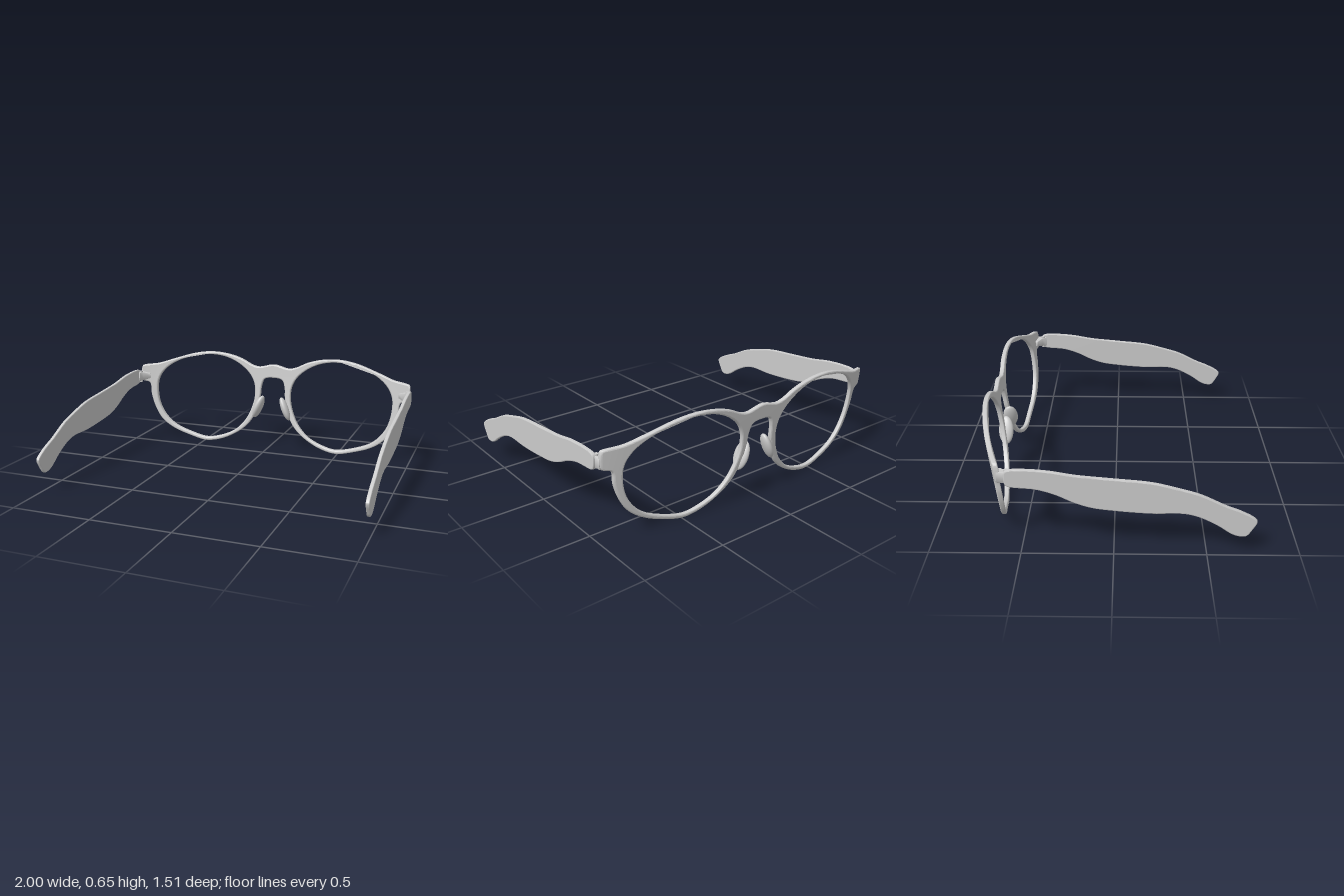
import * as THREE from 'three';
import { toCreasedNormals } from 'three/addons/utils/BufferGeometryUtils.js';

const material = new THREE.MeshStandardMaterial({ color: 0xcccccc });

// Smooth closed outline through a few points
function outline(points, samples) {
  const curve = new THREE.CatmullRomCurve3(points.map(([x, y]) => new THREE.Vector3(x, y, 0)), true);
  return curve.getPoints(samples).slice(0, -1).map((p) => new THREE.Vector2(p.x, p.y));
}

// Extrusion with rounded edges and flat faces, centred on its own thickness
function roundedSlab(shape, thickness, bevel) {
  const depth = thickness - 2 * bevel;
  const extrusion = new THREE.ExtrudeGeometry(shape, {
    depth, steps: 1, bevelEnabled: true, bevelThickness: bevel,
    bevelSize: bevel, bevelOffset: -bevel, bevelSegments: 3,
  });
  const geometry = toCreasedNormals(extrusion.translate(0, 0, -depth / 2), 0.8);
  const { position, normal } = geometry.attributes;
  for (let i = 0; i < position.count; i += 3) {
    const z = [0, 1, 2].map((k) => position.getZ(i + k));
    const isCap = z.every((v) => Math.abs(v - z[0]) < 1e-6) && Math.abs(z[0]) > thickness / 2 - 1e-5;
    if (isCap) [0, 1, 2].forEach((k) => normal.setXYZ(i + k, 0, 0, Math.sign(z[0])));
  }
  return geometry;
}

function part(name, geometry) {
  const mesh = new THREE.Mesh(geometry, material);
  mesh.name = name;
  return mesh;
}

// Wrap and tilt of the frame front, carrying the normals along
function bendFront(geometry) {
  const { position, normal } = geometry.attributes;
  const n = new THREE.Vector3();
  for (let i = 0; i < position.count; i++) {
    const x = position.getX(i);
    const y = position.getY(i) - 0.3;
    const z = -0.705 + 0.135 * Math.abs(x) ** 3 - 0.13 * y + 0.05 * y * y;
    position.setZ(i, position.getZ(i) + z);
    n.fromBufferAttribute(normal, i);
    n.x -= 0.405 * x * Math.abs(x) * n.z;
    n.y -= (0.1 * y - 0.13) * n.z;
    n.normalize();
    normal.setXYZ(i, n.x, n.y, n.z);
  }
  return geometry;
}

function frameFront() {
  const half = [
    [0.11, 0.568], [0.16, 0.578], [0.25, 0.62], [0.36, 0.648], [0.48, 0.656], [0.6, 0.64],
    [0.76, 0.593], [0.866, 0.56], [0.965, 0.547], [0.978, 0.54], [0.98, 0.44], [0.97, 0.43],
    [0.925, 0.415], [0.91, 0.33], [0.878, 0.235], [0.825, 0.148], [0.74, 0.084], [0.61, 0.033],
    [0.487, 0.005], [0.36, 0.03], [0.23, 0.1], [0.16, 0.17], [0.12, 0.25], [0.092, 0.36],
    [0.086, 0.43], [0.065, 0.483],
  ];
  const mirrored = half.map(([x, y]) => [-x, y]).reverse();
  const shape = new THREE.Shape(outline([[0, 0.59], ...half, [0, 0.495], ...mirrored], 400));

  // Lens openings, both wound against the outline
  const lens = [
    [0.487, 0.636], [0.36, 0.622], [0.257, 0.578], [0.176, 0.51], [0.14, 0.44], [0.134, 0.36],
    [0.155, 0.267], [0.2, 0.176], [0.28, 0.096], [0.39, 0.048], [0.487, 0.032], [0.61, 0.061],
    [0.73, 0.113], [0.797, 0.174], [0.845, 0.257], [0.866, 0.364], [0.86, 0.444], [0.82, 0.513],
    [0.74, 0.572], [0.62, 0.615],
  ];
  const mirroredLens = lens.map(([x, y]) => [-x, y]).reverse();
  for (const opening of [lens, mirroredLens]) {
    shape.holes.push(new THREE.Path(outline(opening, 140)));
  }
  return part('frameFront', bendFront(roundedSlab(shape, 0.03, 0.01)));
}

// Side arm, drawn as (z, y)
function temple(s) {
  const profile = [
    [0.757, 0.217], [0.74, 0.238], [0.664, 0.28], [0.59, 0.31], [0.45, 0.378], [0.328, 0.415],
    [0.2, 0.447], [0, 0.468], [-0.2, 0.488], [-0.34, 0.512], [-0.48, 0.521], [-0.55, 0.515],
    [-0.565, 0.5], [-0.564, 0.435], [-0.55, 0.42], [-0.4, 0.402], [-0.3, 0.37], [-0.21, 0.326],
    [-0.117, 0.294], [0, 0.277], [0.2, 0.261], [0.368, 0.261], [0.45, 0.24], [0.55, 0.188],
    [0.623, 0.138], [0.664, 0.123], [0.704, 0.125], [0.733, 0.164],
  ];
  const geometry = roundedSlab(new THREE.Shape(outline(profile, 160)), 0.022, 0.007);
  return part('temple', geometry.rotateY(-Math.PI / 2).translate(s * 0.988, 0, 0));
}

// Bracket (x, z) joining frame and arm, with its pin
function hinge(s) {
  const group = new THREE.Group();
  group.name = 'hinge';
  const bracket = [[0.986, -0.605], [0.988, -0.54], [0.968, -0.53], [0.952, -0.56], [0.91, -0.592], [0.92, -0.61]];
  const shape = new THREE.Shape(bracket.map(([x, z]) => new THREE.Vector2(s * x, -z)));
  const geometry = roundedSlab(shape, 0.065, 0.006).rotateX(-Math.PI / 2);
  // Narrow the bracket towards the lens
  const { position } = geometry.attributes;
  for (let i = 0; i < position.count; i++) {
    const t = THREE.MathUtils.smoothstep(Math.abs(position.getX(i)), 0.9, 0.97);
    position.setY(i, position.getY(i) * (0.45 + 0.55 * t));
  }
  group.add(part('hingeBracket', geometry.translate(0, 0.468, 0)));
  const pin = part('hingePin', new THREE.CylinderGeometry(0.012, 0.012, 0.08, 16));
  pin.position.set(s * 0.97, 0.468, -0.555);
  group.add(pin);
  return group;
}

// Flattened oval pad leaning with the side of the nose
function nosePad(s) {
  const pad = part('nosePad', new THREE.SphereGeometry(1, 32, 20));
  pad.scale.set(0.027, 0.088, 0.047);
  pad.position.set(s * 0.1, 0.283, -0.69);
  pad.rotation.set(0, s * 0.2, s * 0.38, 'ZYX');
  return pad;
}

export function createModel() {
  const model = new THREE.Group();
  model.name = 'eyeglasses';
  model.add(frameFront());
  for (const s of [1, -1]) {
    const side = new THREE.Group();
    side.name = s > 0 ? 'leftSide' : 'rightSide';
    side.add(temple(s), hinge(s), nosePad(s));
    model.add(side);
  }
  return model;
}
